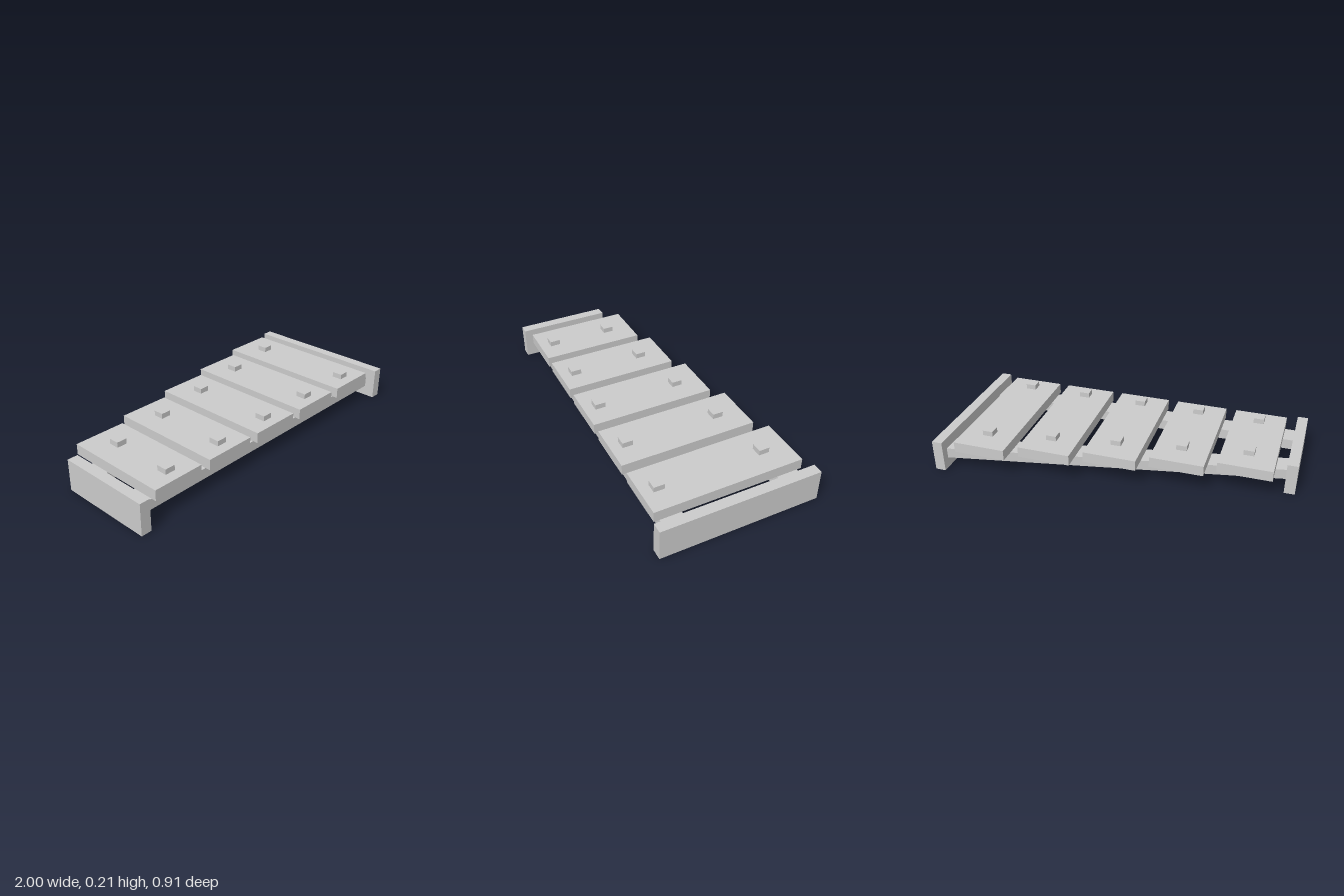
import * as THREE from 'three';

export function createModel() {
  const model = new THREE.Group();
  model.name = 'xylophone';
  const material = new THREE.MeshStandardMaterial({ color: 0xcccccc, flatShading: true });

  // Box given by its limits on each axis
  function block(name, [x0, x1], [y0, y1], [z0, z1]) {
    const mesh = new THREE.Mesh(new THREE.BoxGeometry(x1 - x0, y1 - y0, z1 - z0), material);
    mesh.position.set((x0 + x1) / 2, (y0 + y1) / 2, (z0 + z1) / 2);
    mesh.name = name;
    model.add(mesh);
    return mesh;
  }

  // End boards: short on the right, long on the left
  block('rightEndBoard', [-1, -0.94], [0, 0.182], [-0.092, 0.454]);
  block('leftEndBoard', [0.94, 1], [0, 0.182], [-0.454, 0.454]);

  // Straight front rail and slanted back rail between the boards
  block('frontRail', [-0.94, 0.94], [0.061, 0.121], [0.272, 0.393]);
  const backRail = block('backRail', [-0.94, 0.94], [0.061, 0.121], [-0.227, -0.105]);
  const p = backRail.geometry.attributes.position;
  for (let i = 0; i < p.count; i++) p.setZ(i, p.getZ(i) - 0.194 * p.getX(i));
  backRail.geometry.computeVertexNormals();

  // Sounding bars growing to the left, each held by two pegs
  for (let i = 0; i < 5; i++) {
    const x = (i - 2) * 0.3635;
    block('bar' + (i + 1), [x - 0.152, x + 0.152], [0.121, 0.182], [-0.182 - i * 0.0605, 0.424]);
    for (const [name, z] of [['frontPeg', 0.333], ['backPeg', -0.03 - i * 0.0605]]) {
      block(name + (i + 1), [x - 0.03, x + 0.03], [0.182, 0.212], [z - 0.03, z + 0.03]);
    }
  }
  return model;
}
